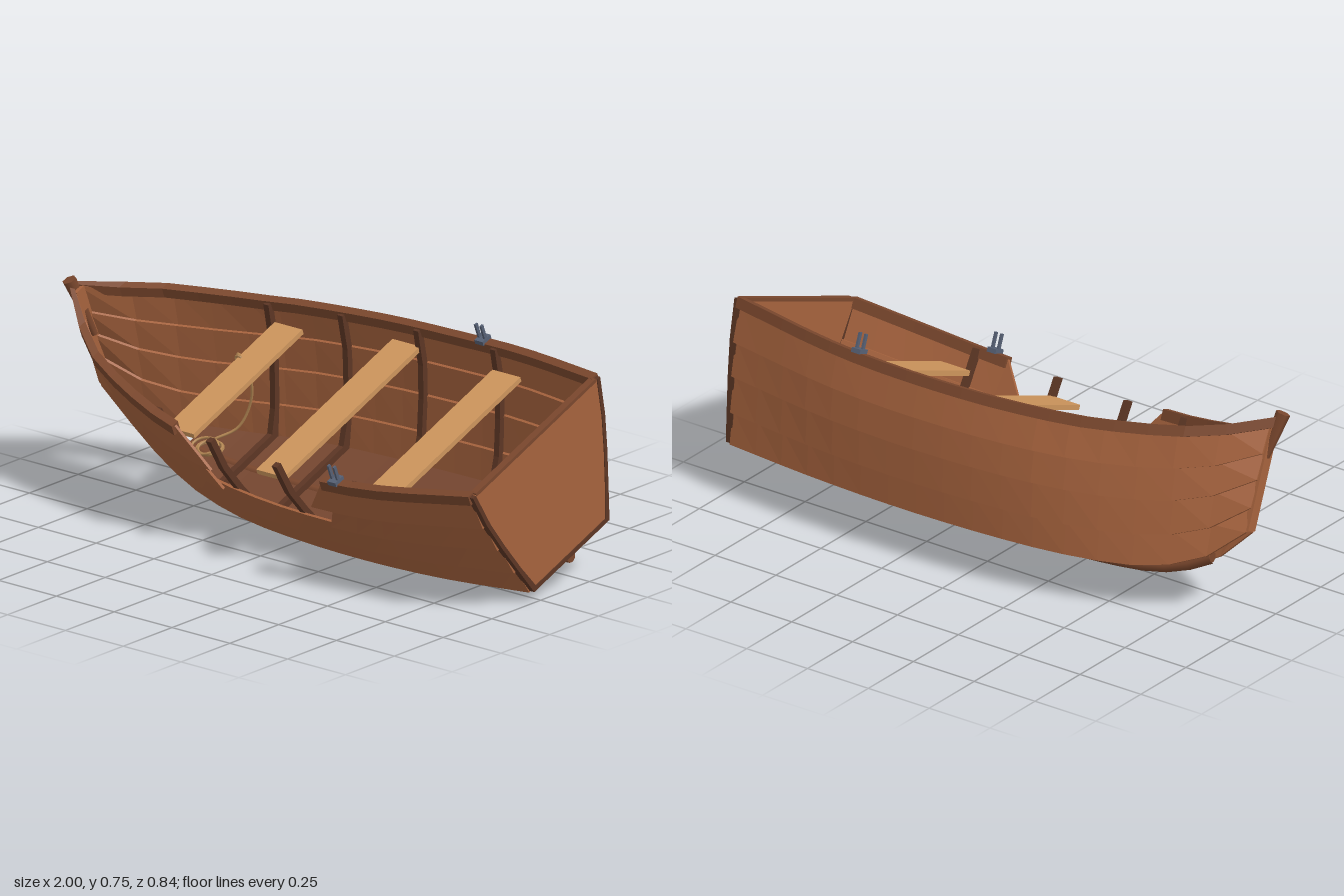
import * as THREE from 'three';

const mat = (name, color) => {
  const m = new THREE.MeshStandardMaterial({ color });
  m.name = name;
  return m;
};

// Smooth curve through [x, value] pairs
function curve(t) {
  const slope = i => {
    const a = t[Math.max(i - 1, 0)], b = t[Math.min(i + 1, t.length - 1)];
    return (b[1] - a[1]) / (b[0] - a[0]);
  };
  return x => {
    let i = 0;
    while (i < t.length - 2 && x > t[i + 1][0]) i++;
    const h = t[i + 1][0] - t[i][0], u = (x - t[i][0]) / h, v = 1 - u;
    return t[i][1] * v * v * (1 + 2 * u) + t[i + 1][1] * u * u * (3 - 2 * u)
      + h * u * v * (slope(i) * v - slope(i + 1) * u);
  };
}

// Hull lines: half width and height of the gunwale and of the flat bottom
const topW = curve([[-0.95, 0.02], [-0.8, 0.165], [-0.65, 0.24], [-0.5, 0.295], [-0.3, 0.352], [0, 0.397], [0.3, 0.41], [0.6, 0.4], [1, 0.34]]);
const topY = curve([[-0.95, 0.635], [-0.8, 0.565], [-0.5, 0.506], [-0.3, 0.487], [0, 0.476], [0.45, 0.482], [1, 0.525]]);
const botW = curve([[-0.95, 0.012], [-0.82, 0.04], [-0.65, 0.1], [-0.45, 0.165], [-0.2, 0.213], [0.2, 0.235], [0.6, 0.23], [1, 0.198]]);
const botY = curve([[-0.95, 0.26], [-0.82, 0.137], [-0.65, 0.066], [-0.45, 0.037], [-0.2, 0.024], [0.2, 0.018], [0.6, 0.024], [1, 0.038]]);
const FRAC_Y = [0, 0.225, 0.48, 0.72, 1];
const BULGE = [0, 0.09, 0.15, 0.15, 0];

// Plank seam k (0 = bottom edge, 4 = gunwale) at station x
function seam(x, k) {
  const f = FRAC_Y[k];
  const full = THREE.MathUtils.smoothstep(x, -0.95, -0.2) * (1 - 0.35 * THREE.MathUtils.smoothstep(x, 0.4, 1));
  return {
    w: THREE.MathUtils.lerp(botW(x), topW(x), f + BULGE[k] * full),
    y: THREE.MathUtils.lerp(botY(x), topY(x), f)
  };
}

// Faceted solid through a row of closed cross-sections
function loft(rings, flip = false) {
  const pos = [], n = rings[0].length;
  const tri = (a, b, c) => (flip ? [a, c, b] : [a, b, c]).forEach(p => pos.push(...p));
  for (let i = 0; i < rings.length - 1; i++) {
    for (let j = 0; j < n; j++) {
      const k = (j + 1) % n, A = rings[i], B = rings[i + 1];
      tri(A[j], B[j], B[k]);
      tri(A[j], B[k], A[k]);
    }
  }
  const s = rings[0], e = rings[rings.length - 1];
  for (let j = 1; j < n - 1; j++) {
    tri(s[0], s[j], s[j + 1]);
    tri(e[0], e[j + 1], e[j]);
  }
  const g = new THREE.BufferGeometry();
  g.setAttribute('position', new THREE.Float32BufferAttribute(pos, 3));
  g.computeVertexNormals();
  return g;
}

// Lapped plank k on one side; its two ends may slant between seams
function plank(k, s, [lowA, highA], [lowB, highB]) {
  const rings = [], N = Math.max(4, Math.round((lowB - lowA) * 9));
  for (let i = 0; i <= N; i++) {
    const xl = THREE.MathUtils.lerp(lowA, lowB, i / N), xh = THREE.MathUtils.lerp(highA, highB, i / N);
    const lo = seam(xl, k), hi = seam(xh, k + 1);
    rings.push([
      [xl, lo.y - 0.012, s * (lo.w + 0.012)], [xh, hi.y, s * hi.w],
      [xh, hi.y, s * (hi.w - 0.01)], [xl, lo.y - 0.012, s * (lo.w + 0.001)]
    ]);
  }
  return loft(rings, s < 0);
}

function rail(s, a, b) {
  const rings = [], N = Math.max(5, Math.round((b - a) * 9));
  for (let i = 0; i <= N; i++) {
    const x = THREE.MathUtils.lerp(a, b, i / N), w = topW(x), y = topY(x);
    const inner = Math.max(w - 0.02, 0);
    rings.push([[x, y - 0.03, s * (w + 0.013)], [x, y + 0.007, s * (w + 0.013)], [x, y + 0.007, s * inner], [x, y - 0.03, s * inner]]);
  }
  return loft(rings, s < 0);
}

// Timber following the inside of the hull, from one gunwale round to the other
function rib(x, half, outset, depth) {
  const rings = [];
  for (const s of [1, -1]) {
    for (const k of s > 0 ? [4, 3, 2, 1, 0] : [0, 1, 2, 3, 4]) {
      const p = seam(x, k), w = p.w + outset;
      const y = k === 0 ? p.y - outset : p.y, yi = k === 0 ? y + depth : y;
      rings.push([
        [x - half, y, s * w], [x + half, y, s * w],
        [x + half, yi, s * (w - depth)], [x - half, yi, s * (w - depth)]
      ]);
    }
  }
  return loft(rings);
}

export function createModel() {
  const wood = mat('plank wood', 0xa5623d);
  const trim = mat('trim wood', 0x7a472d);
  const dark = mat('dark timber', 0x5c3624);
  const floorWood = mat('floor wood', 0x754630);
  const seatWood = mat('seat wood', 0xcd955c);
  const metal = mat('iron', 0x566074);
  const ropeMat = mat('rope', 0xb88a55);

  const boat = new THREE.Group();
  boat.name = 'boat';
  const add = (name, geo, m, x = 0, y = 0, z = 0) => {
    const mesh = new THREE.Mesh(geo, m);
    mesh.name = name;
    mesh.position.set(x, y, z);
    boat.add(mesh);
    return mesh;
  };
  const bow = [-0.95, -0.95], stern = [0.98, 0.98];

  // Planking: whole on the right, upper two planks broken on the left
  for (let k = 0; k < 4; k++) {
    add('rightPlank', plank(k, -1, bow, stern), wood);
    if (k < 2) add('leftPlank', plank(k, 1, bow, stern), wood);
  }
  add('brokenPlankFore', plank(2, 1, bow, [-0.19, -0.25]), wood);
  add('brokenPlankAft', plank(2, 1, [0.3, 0.37], stern), wood);
  add('brokenPlankFore', plank(3, 1, bow, [-0.18, -0.3]), wood);
  add('brokenPlankAft', plank(3, 1, [0.28, 0.38], stern), wood);

  // Gunwale rails
  add('rightRail', rail(-1, -0.965, 0.985), trim);
  add('leftRailFore', rail(1, -0.965, -0.3), trim);
  add('leftRailAft', rail(1, 0.38, 0.985), trim);

  // Flat bottom, open under the bow
  const floorRings = [];
  for (let i = 0; i <= 12; i++) {
    const x = THREE.MathUtils.lerp(-0.65, 0.98, i / 12), w = botW(x) + 0.002, y = botY(x);
    floorRings.push([[x, y - 0.012, w], [x, y, w], [x, y, -w], [x, y - 0.012, -w]]);
  }
  add('floor', loft(floorRings), floorWood);

  // Keel
  const keelPath = [-0.83, -0.72, -0.6, -0.4, -0.1, 0.3, 0.7, 0.995].map(x => new THREE.Vector3(x, botY(x) - 0.014, 0));
  const keelCurve = new THREE.CatmullRomCurve3(keelPath);
  add('keel', new THREE.TubeGeometry(keelCurve, 20, 0.02, 8), trim);
  for (const [t, turn] of [[0, -1], [1, 1]]) {
    const p = keelCurve.getPoint(t);
    add('keelEnd', new THREE.CircleGeometry(0.02, 8), trim, p.x, p.y, p.z).rotation.y = turn * Math.PI / 2;
  }

  // Transom and its edging
  const outline = [0, 1, 2, 3, 4].map(k => seam(0.98, k));
  const shape = new THREE.Shape([
    ...outline.map(p => new THREE.Vector2(p.w, p.y)),
    ...outline.slice().reverse().map(p => new THREE.Vector2(-p.w, p.y))
  ]);
  const transom = new THREE.ExtrudeGeometry(shape, { depth: 0.022, bevelEnabled: false }).rotateY(Math.PI / 2);
  add('transom', transom, wood, 0.975);
  add('transomEdge', rib(0.987, 0.013, 0.008, 0.016), dark);
  add('transomCap', new THREE.BoxGeometry(0.026, 0.012, 0.66), trim, 0.985, outline[4].y, 0);

  // Stem and raked stem head
  add('stem', new THREE.BoxGeometry(0.02, 0.38, 0.042), wood, -0.948, 0.445, 0);
  add('stemHead', new THREE.CylinderGeometry(0.025, 0.012, 0.22, 6), trim, -0.955, 0.557, 0).rotation.z = 0.2;

  // Ribs
  for (const x of [-0.41, -0.14, 0.165, 0.5]) add('rib', rib(x, 0.011, -0.006, 0.024), dark);

  // Seats: x, height, half length
  for (const [x, y, h] of [[-0.34, 0.412, 0.3], [0.108, 0.405, 0.375], [0.55, 0.402, 0.362]]) {
    add('seat', new THREE.BoxGeometry(0.12, 0.018, h * 2), seatWood, x, y, 0);
  }

  // Oarlocks
  for (const s of [1, -1]) {
    const x = 0.44, y = topY(x), z = s * (topW(x) - 0.004);
    add('oarlockBase', new THREE.BoxGeometry(0.036, 0.016, 0.044), metal, x, y + 0.012, z);
    for (const d of [-1, 1]) {
      add('oarlockProng', new THREE.BoxGeometry(0.008, 0.055, 0.012), metal, x + d * 0.012, y + 0.045, z);
    }
  }

  // Rope: loose coil in the bow, tied to the front seat
  for (let i = 0; i < 4; i++) {
    const coil = add('ropeCoil', new THREE.TorusGeometry(0.045 + 0.005 * (i % 2), 0.005, 5, 16), ropeMat,
      -0.56 + 0.008 * (i % 3), 0.065 + i * 0.008, 0.006 * (i - 1));
    coil.rotation.x = Math.PI / 2 + 0.06 * (i - 1.5);
    coil.scale.y = 0.8;
  }
  const line = [[-0.39, 0.425, -0.1], [-0.41, 0.425, -0.11], [-0.425, 0.36, -0.15], [-0.45, 0.2, -0.15], [-0.5, 0.1, -0.1], [-0.56, 0.08, -0.04]];
  add('ropeLine', new THREE.TubeGeometry(new THREE.CatmullRomCurve3(line.map(p => new THREE.Vector3(...p))), 24, 0.005, 5), ropeMat);
  add('ropeKnot', new THREE.TorusGeometry(0.014, 0.005, 5, 8), ropeMat, -0.4, 0.412, -0.1);

  // The hull lies heeled over on its left side
  boat.rotation.x = 0.375;
  boat.position.set(0, 0.068, -0.171);
  const model = new THREE.Group();
  model.name = 'wreckedRowboat';
  model.add(boat);
  return model;
}
